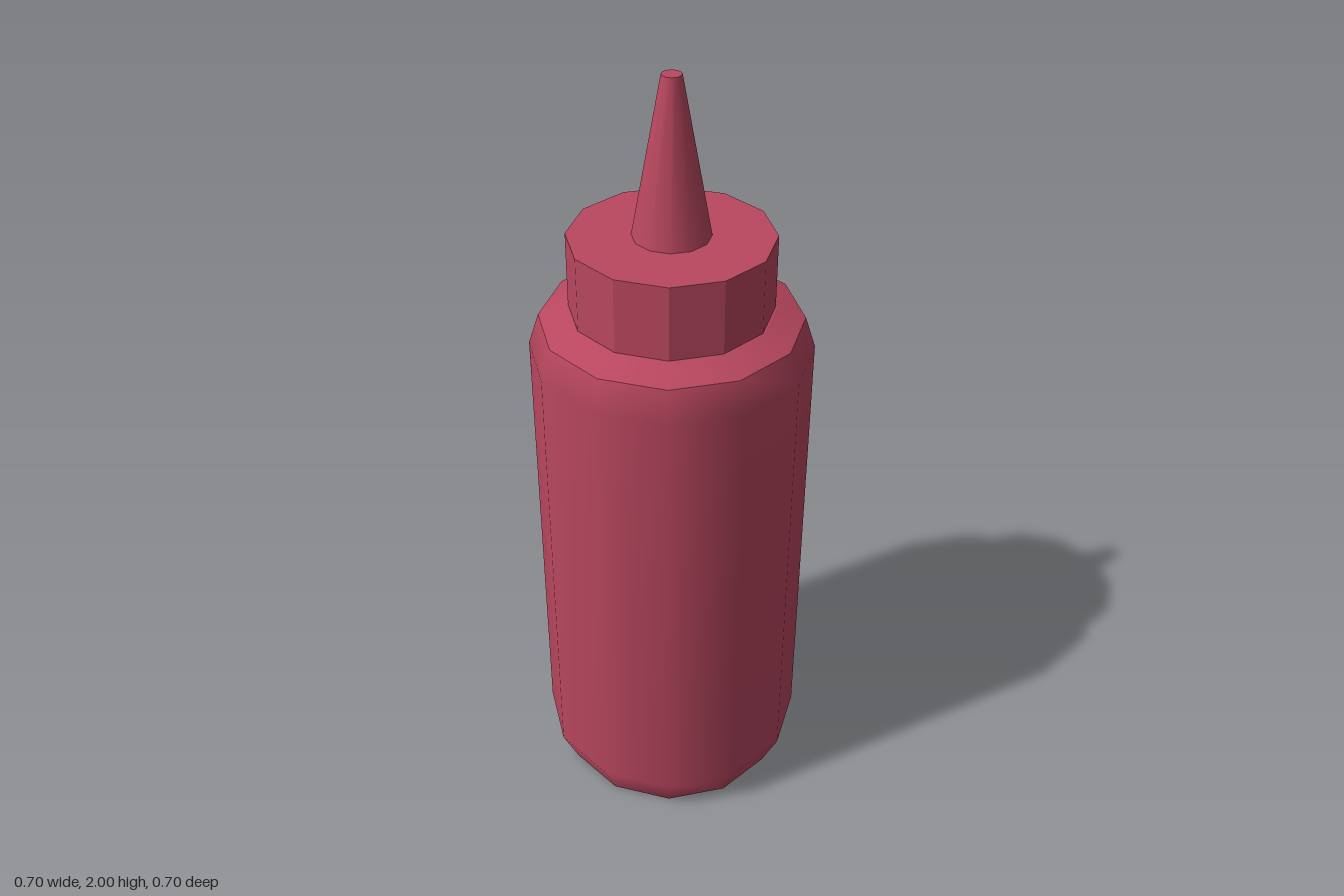
import * as THREE from 'three';

const SIDES = 12;

export function createModel() {
  const group = new THREE.Group();
  const red = new THREE.MeshStandardMaterial({ color: 0xb9475f });
  red.name = 'sauce red';
  const redFaceted = new THREE.MeshStandardMaterial({ color: 0xb9475f, flatShading: true });
  redFaceted.name = 'sauce red faceted';

  const add = (name, geometry, y = 0, material = red) => {
    const mesh = new THREE.Mesh(geometry, material);
    mesh.name = name;
    mesh.position.y = y;
    group.add(mesh);
  };
  // Profile of [radius, height] pairs, listed from bottom to top
  const lathe = (profile) =>
    new THREE.LatheGeometry(profile.map(([r, y]) => new THREE.Vector2(r, y)), SIDES);

  // Bottle: smooth wall, with hard edges at the shoulder and base
  add('bottleBody', lathe([[0.305, 0], [0.35, 0.1], [0.35, 1.31], [0.324, 1.39]]));
  add('bottleShoulder', lathe([[0.324, 1.39], [0.254, 1.42]]));
  add('bottleBase', lathe([[0, 0], [0.305, 0]]));
  add('bottleTop', lathe([[0.254, 1.42], [0, 1.42]]));

  // Faceted screw cap
  add('cap', new THREE.CylinderGeometry(0.25, 0.25, 0.19, SIDES), 1.515, redFaceted);

  // Tapered nozzle
  add('nozzle', new THREE.CylinderGeometry(0.024, 0.095, 0.39, SIDES), 1.805);

  return group;
}
